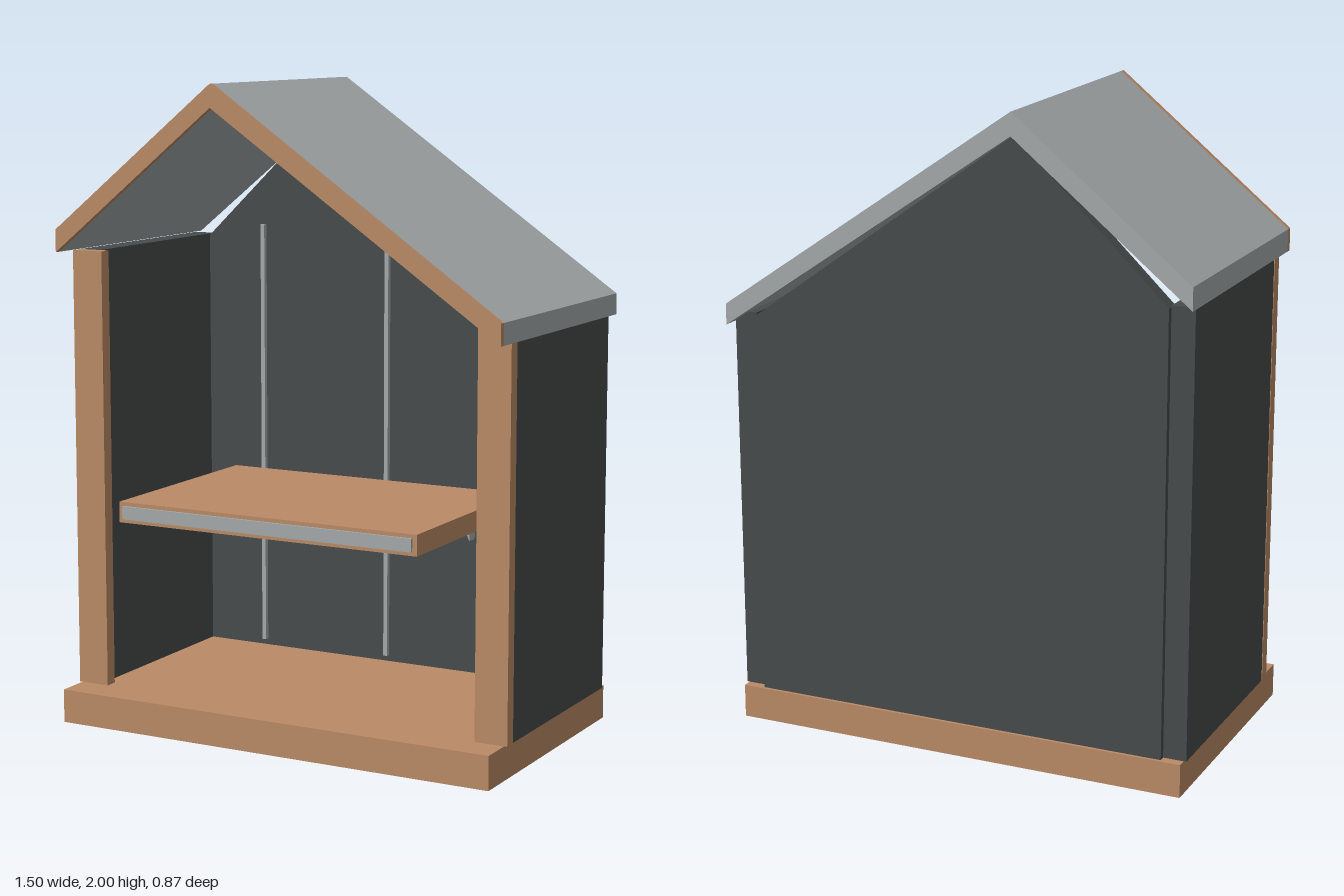
import * as THREE from 'three';

export function createModel() {
  const model = new THREE.Group();
  model.name = 'shelter';

  const material = (name, color) => {
    const m = new THREE.MeshStandardMaterial({ color });
    m.name = name;
    return m;
  };
  const wood = material('wood', 0xba8a66);
  const dark = material('darkPanel', 0x474b4b);
  const metal = material('greyMetal', 0xa4a9a9);

  const add = (name, geometry, mat) => {
    const mesh = new THREE.Mesh(geometry, mat);
    mesh.name = name;
    model.add(mesh);
  };
  // Box given by its limits on each axis
  const box = (name, mat, [x0, x1], [y0, y1], [z0, z1]) => {
    const g = new THREE.BoxGeometry(x1 - x0, y1 - y0, z1 - z0);
    add(name, g.translate((x0 + x1) / 2, (y0 + y1) / 2, (z0 + z1) / 2), mat);
  };
  // Outline in x/y, extruded from z0 to z1
  const slab = (name, mat, points, z0, z1) => {
    const shape = new THREE.Shape(points.map(([x, y]) => new THREE.Vector2(x, y)));
    const g = new THREE.ExtrudeGeometry(shape, { depth: z1 - z0, bevelEnabled: false });
    add(name, g.translate(0, 0, z0), mat);
  };

  const floorY = 0.105;
  box('base', wood, [-0.735, 0.735], [0, floorY], [-0.42, 0.435]);

  // Side walls with front posts; the right-hand side is lower
  for (const [side, sign, top] of [['right', -1, 1.48], ['left', 1, 1.32]]) {
    const span = (a, b) => (sign > 0 ? [a, b] : [-b, -a]);
    box(side + 'Wall', dark, span(0.67, 0.743), [floorY, top], [-0.39, 0.29]);
    box(side + 'Post', wood, span(0.64, 0.745), [floorY, top], [0.29, 0.33]);
  }

  // Gabled back panel, slightly proud of the side walls
  slab('backPanel', dark, [
    [-0.67, floorY], [0.67, floorY], [0.67, 1.31], [-0.195, 1.93], [-0.67, 1.475],
  ], -0.41, -0.36);

  // Asymmetric roof and its wooden front trim
  const roofOutline = [
    [-0.75, 1.48], [-0.195, 1.93], [0.75, 1.285], [0.75, 1.35], [-0.195, 2], [-0.75, 1.55],
  ];
  slab('roof', metal, roofOutline, -0.435, 0.395);
  slab('roofTrim', wood, roofOutline, 0.395, 0.415);

  // Shelf with a metal strip on its front edge
  box('shelf', wood, [-0.565, 0.465], [0.645, 0.71], [-0.345, 0.362]);
  box('shelfStrip', metal, [-0.55, 0.45], [0.657, 0.698], [0.362, 0.37]);

  // Triangular brackets under the shelf
  for (const x of [-0.35, 0.31]) {
    slab('shelfBracket', metal, [[x - 0.047, 0.645], [x, 0.545], [x, 0.645]], -0.36, -0.32);
  }

  // Upright rails on the back panel
  for (const [x, top] of [[-0.46, 1.52], [-0.003, 1.52], [0.455, 1.37]]) {
    box('backRail', metal, [x - 0.007, x + 0.007], [0.125, top], [-0.36, -0.345]);
  }

  return model;
}
